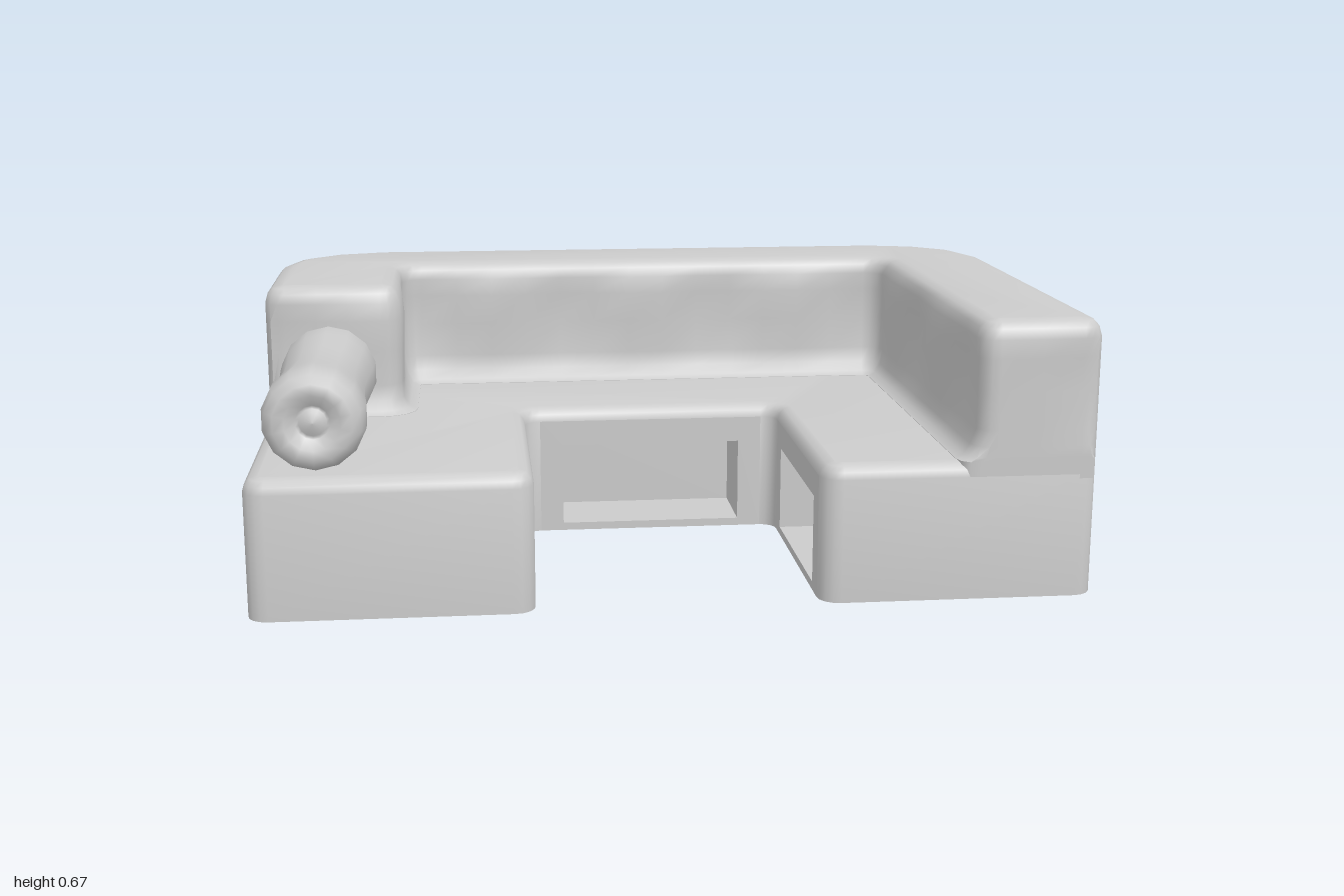
import * as THREE from 'three';
import { toCreasedNormals } from 'three/addons/utils/BufferGeometryUtils.js';

const grey = new THREE.MeshStandardMaterial({ color: 0xcccccc });
const inside = new THREE.MeshStandardMaterial({ color: 0xcccccc, side: THREE.BackSide });

// Outline from [x, z, radius] corners; long edges are split to at most maxEdge.
function outline(corners, maxEdge = Infinity) {
  const n = corners.length, pts = [];
  const P = corners.map(([x, z]) => new THREE.Vector2(x, z));
  corners.forEach(([, , r], i) => {
    const p = P[i];
    if (!r) { pts.push(p.clone()); return; }
    const u = P[(i + n - 1) % n].clone().sub(p).normalize();
    const v = P[(i + 1) % n].clone().sub(p).normalize();
    const c = p.clone().addScaledVector(u, r).addScaledVector(v, r);
    for (let k = 0; k <= 4; k++) {
      const a = (k / 4) * Math.PI / 2;
      pts.push(c.clone().addScaledVector(v, -r * Math.cos(a)).addScaledVector(u, -r * Math.sin(a)));
    }
  });
  const out = [];
  pts.forEach((p, i) => {
    const q = pts[(i + 1) % pts.length];
    const m = Math.max(1, Math.ceil(p.distanceTo(q) / maxEdge));
    for (let k = 0; k < m; k++) out.push(p.clone().lerp(q, k / m));
  });
  return out;
}

// Inward mitre direction at each outline point.
function mitres(pts) {
  const n = pts.length;
  return pts.map((p, i) => {
    const a = p.clone().sub(pts[(i + n - 1) % n]).normalize();
    const b = pts[(i + 1) % n].clone().sub(p).normalize();
    const m = new THREE.Vector2(-a.y - b.y, a.x + b.x);
    return m.multiplyScalar(2 / m.lengthSq());
  });
}

// Stack of inset outlines: heights ys, inset(ring, point) gives the offset.
function loft(pts, ys, inset, skipEdge = () => false) {
  const n = pts.length, dirs = mitres(pts), pos = [], idx = [];
  ys.forEach((y, k) => pts.forEach((p, i) => {
    const q = p.clone().addScaledVector(dirs[i], inset(k, p));
    pos.push(THREE.MathUtils.clamp(q.x, -1, 1), y, Math.min(q.y, 0.665));
  }));
  for (let k = 0; k + 1 < ys.length; k++) {
    for (let i = 0; i < n; i++) {
      const j = (i + 1) % n;
      if (k === 0 && skipEdge(pts[i], pts[j])) continue;
      const a = k * n + i, b = k * n + j;
      idx.push(a, a + n, b, b, a + n, b + n);
    }
  }
  const last = (ys.length - 1) * n;
  const cap = (start) => pts.map((_, i) => new THREE.Vector2(pos[(start + i) * 3], pos[(start + i) * 3 + 2]));
  for (const [a, b, c] of THREE.ShapeUtils.triangulateShape(cap(0), [])) idx.push(a, b, c);
  for (const [a, b, c] of THREE.ShapeUtils.triangulateShape(cap(last), [])) idx.push(last + a, last + c, last + b);
  const g = new THREE.BufferGeometry();
  g.setAttribute('position', new THREE.Float32BufferAttribute(pos, 3));
  g.setIndex(idx);
  return toCreasedNormals(g, 0.75);
}

function mesh(name, geometry, material = grey) {
  const m = new THREE.Mesh(geometry, material);
  m.name = name;
  return m;
}

// Flat panel with an open storage niche behind it, facing local +z.
function niche(name, panelW, holeW, depth) {
  const g = new THREE.Group();
  g.name = name;
  const w = panelW / 2, h = holeW / 2, y0 = 0.02, y1 = 0.235;
  const rect = (C, x, a, b) => new C([[-x, a], [x, a], [x, b], [-x, b]].map((p) => new THREE.Vector2(...p)));
  const s = rect(THREE.Shape, w, 0, 0.3);
  s.holes.push(rect(THREE.Path, h, y0, y1));
  const box = new THREE.BoxGeometry(holeW, y1 - y0, depth);
  const ix = Array.from(box.index.array);
  ix.splice(24, 6); // leave the front open
  box.setIndex(ix);
  box.clearGroups();
  box.translate(0, (y0 + y1) / 2, -depth / 2);
  g.add(mesh('nichePanel', new THREE.ShapeGeometry(s)), mesh('nicheInterior', box, inside));
  return g;
}

export function createModel() {
  const sofa = new THREE.Group();
  sofa.name = 'cornerSofa';

  const back = [[-1, -0.4], [-0.96, -0.54], [-0.86, -0.63], [-0.72, -0.67],
    [0.72, -0.67], [0.86, -0.63], [0.96, -0.54], [1, -0.4]];

  // U-shaped seat base with a softened upper edge
  const basePts = outline([...back, [1, 0.665, 0.05], [0.335, 0.665, 0.05], [0.335, 0, 0.04],
    [-0.335, 0, 0.04], [-0.335, 0.665, 0.05], [-1, 0.665, 0.05]]);
  const baseInset = [0, 0, 0.005, 0.016, 0.035];
  const inNotch = (p) => Math.abs(p.x) < 0.34 && p.y > -0.01 && p.y < 0.63;
  sofa.add(mesh('seatBase', loft(basePts, [0, 0.3, 0.317, 0.33, 0.335], (k) => baseInset[k],
    (p, q) => inNotch(p) && inNotch(q) && p.distanceTo(q) > 0.3)));

  // Backrest and arms: flared foot, rippled padding, rounded top
  const wallPts = outline([...back, [1, 0.665, 0.05], [0.7, 0.665, 0.05], [0.7, -0.38, 0.05],
    [-0.655, -0.38, 0.05], [-0.655, 0.01, 0.05], [-1, 0.01, 0.05]], 0.1);
  const ys = [0.29, 0.336, 0.345, 0.37, 0.41, 0.5, 0.58, 0.625, 0.65, 0.664, 0.67];
  const flare = [0.04, 0.04, 0.02, 0.005];
  const ripple = [0, 0, 0, 0, 0.004, 0.008, 0.01, 0.004];
  const bevel = { 8: 0.007, 9: 0.02, 10: 0.045 };
  sofa.add(mesh('backrestAndArms', loft(wallPts, ys, (k, p) => {
    const inner = Math.abs(p.x) < 0.98 && p.y > -0.5;
    const soft = inner ? (flare[k] || 0) + (ripple[k] || 0) * Math.sin(15 * p.x + 13 * p.y) : 0;
    return (bevel[k] || 0) - soft;
  })));

  // Storage niches around the notch
  const middle = niche('middleNiche', 0.59, 0.47, 0.2);
  sofa.add(middle);
  for (const side of [-1, 1]) {
    const n = niche(side < 0 ? 'rightNiche' : 'leftNiche', 0.575, 0.46, 0.13);
    n.position.set(side * 0.335, 0, 0.3275);
    n.rotation.y = -side * Math.PI / 2;
    sofa.add(n);
  }

  // Bolster cushion with a waist and a buttoned end
  const profile = [[0, -0.01], [0.09, -0.01], [0.112, 0.01], [0.121, 0.06], [0.118, 0.14], [0.11, 0.26],
    [0.108, 0.35], [0.113, 0.45], [0.121, 0.53], [0.121, 0.58], [0.112, 0.612], [0.092, 0.63],
    [0.065, 0.63], [0.04, 0.613], [0.032, 0.611], [0.024, 0.62], [0, 0.624]];
  const roll = mesh('bolster', new THREE.LatheGeometry(profile.map((p) => new THREE.Vector2(...p)), 14));
  roll.rotation.x = Math.PI / 2;
  roll.position.set(-0.835, 0.456, 0);
  sofa.add(roll);

  return sofa;
}
